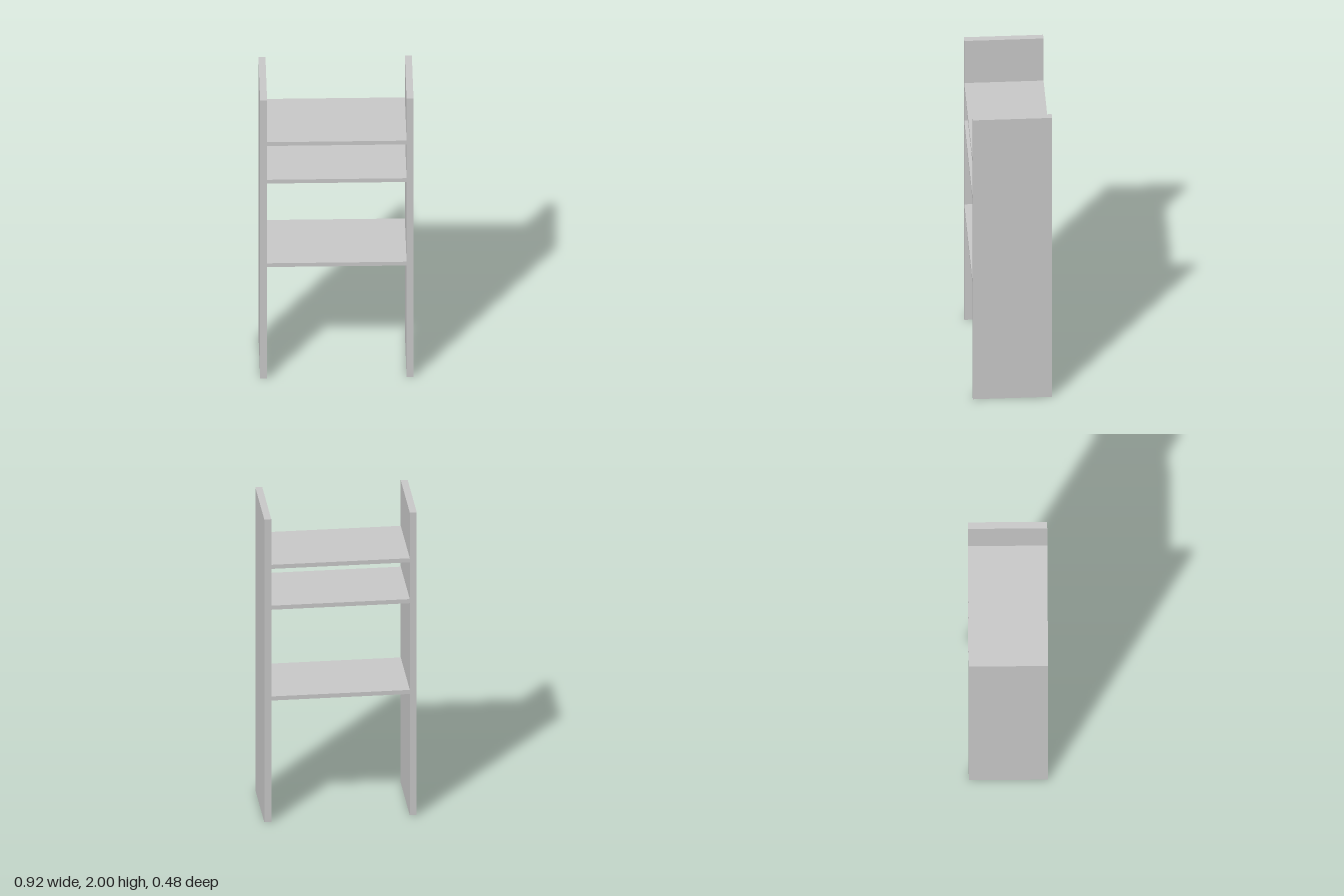
import * as THREE from 'three';

const WIDTH = 0.924, HEIGHT = 2, DEPTH = 0.478;
const PANEL = 0.042, SHELF = 0.027;
const INNER = WIDTH - 2 * PANEL;

export function createModel() {
  const group = new THREE.Group();
  group.name = 'shelfUnit';
  const material = new THREE.MeshStandardMaterial({ color: 0xcccccc });

  const addBoard = (name, w, h, x, y) => {
    const board = new THREE.Mesh(new THREE.BoxGeometry(w, h, DEPTH), material);
    board.name = name;
    board.position.set(x, y, 0);
    group.add(board);
  };

  // Upright side panels
  for (const [name, side] of [['leftPanel', 1], ['rightPanel', -1]]) {
    addBoard(name, PANEL, HEIGHT, side * (WIDTH - PANEL) / 2, HEIGHT / 2);
  }

  // Shelves spanning between the panels
  const shelves = { lowerShelf: 0.815, middleShelf: 1.415, upperShelf: 1.685 };
  for (const [name, y] of Object.entries(shelves)) {
    addBoard(name, INNER, SHELF, 0, y);
  }

  return group;
}
